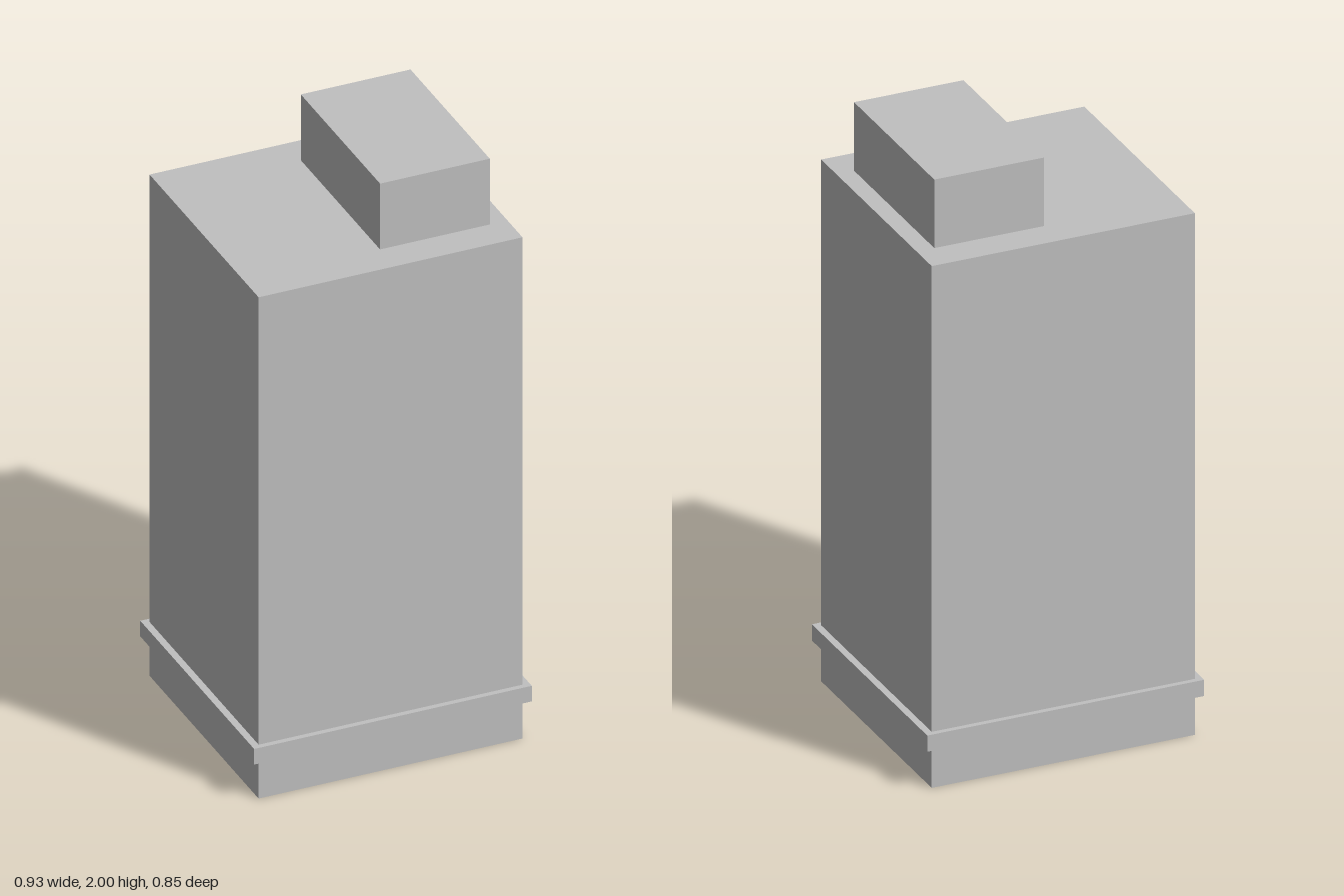
import * as THREE from 'three';

export function createModel() {
  const model = new THREE.Group();
  const concrete = new THREE.MeshStandardMaterial({ color: 0xc0c0c0 });
  concrete.name = 'light grey';

  // Adds a block given its extents along each axis
  function addBlock(name, [x0, x1], [y0, y1], [z0, z1]) {
    const mesh = new THREE.Mesh(new THREE.BoxGeometry(x1 - x0, y1 - y0, z1 - z0), concrete);
    mesh.position.set((x0 + x1) / 2, (y0 + y1) / 2, (z0 + z1) / 2);
    mesh.name = name;
    model.add(mesh);
  }

  // Main tower block
  addBlock('tower', [-0.44, 0.44], [0, 1.768], [-0.406, 0.403]);
  // Projecting band above the ground floor
  addBlock('ledge', [-0.463, 0.463], [0.135, 0.19], [-0.424, 0.421]);
  // Rooftop plant room, off to one side
  addBlock('roofHouse', [0.015, 0.381], [1.768, 2], [-0.296, 0.292]);

  return model;
}
